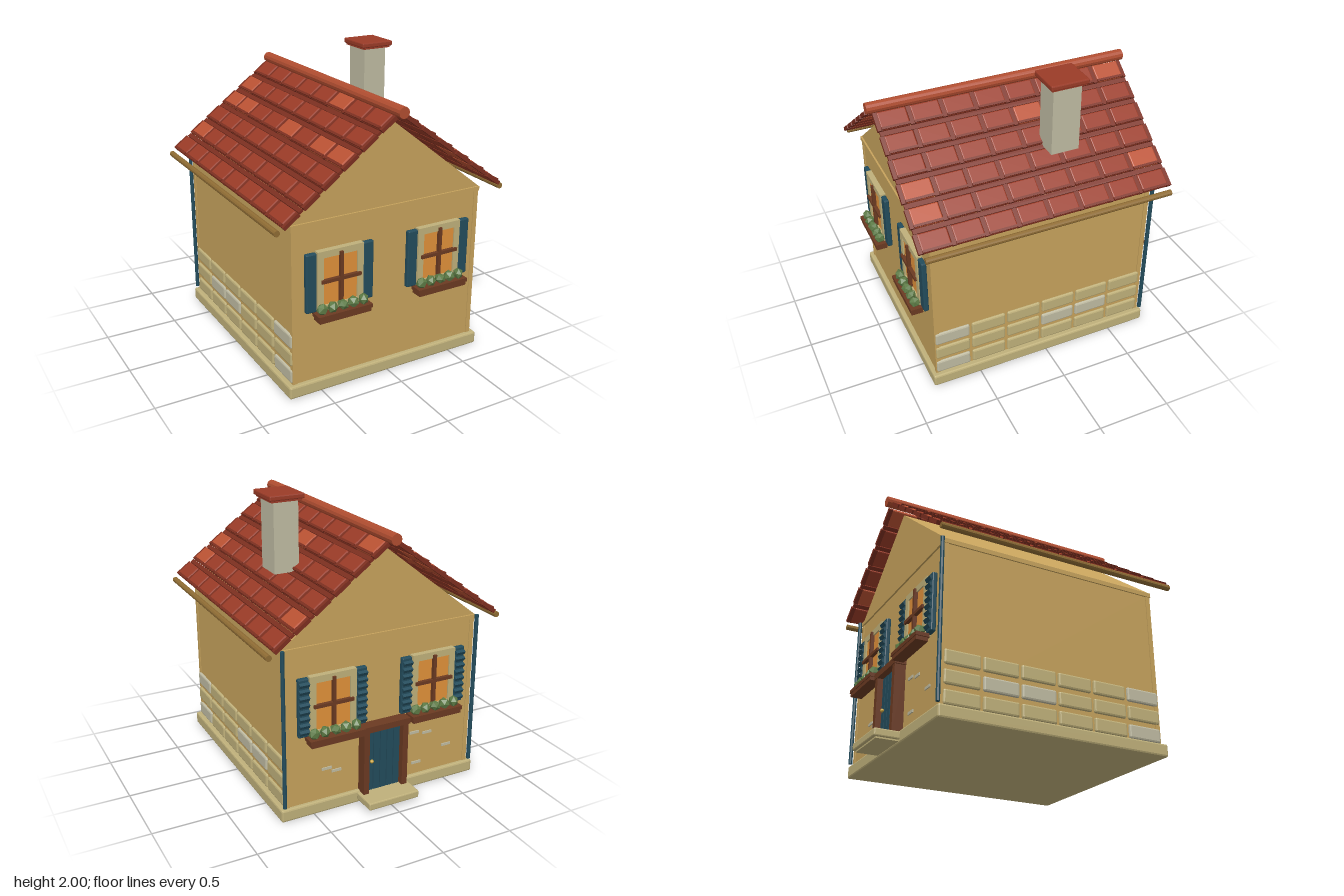
import * as THREE from 'three';
import { RoundedBoxGeometry } from 'three/addons/geometries/RoundedBoxGeometry.js';

const mats = {};
const mat = (color) => (mats[color] ??= new THREE.MeshStandardMaterial({ color, flatShading: true }));
const WALL = 0xc6a25c, STONE = 0xbfb07a, PALE = 0xbfbba2, BLUE = 0x234c5c, BROWN = 0x6b3a22,
  GLASS = 0xe0913a, GREEN = 0x5c7a45, TILE = 0x9a3b27, TILE_LIGHT = 0xbb5233, TILE_DARK = 0x7c2f20, GUTTER = 0x8f6c34;

function add(parent, name, geo, color, x = 0, y = 0, z = 0) {
  const m = new THREE.Mesh(geo, mat(color));
  m.name = name;
  m.position.set(x, y, z);
  parent.add(m);
  return m;
}
// Box given by its low and high limits on each axis
function box(parent, name, color, [x0, x1], [y0, y1], [z0, z1], bevel = 0) {
  const s = [x1 - x0, y1 - y0, z1 - z0];
  const geo = bevel ? new RoundedBoxGeometry(...s, 1, bevel) : new THREE.BoxGeometry(...s);
  return add(parent, name, geo, color, (x0 + x1) / 2, (y0 + y1) / 2, (z0 + z1) / 2);
}
function group(parent, name) {
  const g = new THREE.Group();
  g.name = name;
  parent.add(g);
  return g;
}

// Window with shutters and flower box, standing out from a wall plane at z = 0
function makeWindow(parent, louvred) {
  const w = group(parent, 'window');
  box(w, 'windowGlass', GLASS, [-0.13, 0.13], [0.58, 0.94], [-0.01, 0.025]);
  for (const s of [-1, 1]) {
    box(w, 'frameSide', STONE, s < 0 ? [-0.163, -0.12] : [0.12, 0.163], [0.57, 0.975], [-0.01, 0.035]);
    const cx = s * 0.203;
    box(w, 'shutter', BLUE, [cx - 0.037, cx + 0.037], [0.575, 0.97], [-0.005, 0.03], 0.008);
    if (louvred) for (let i = 0; i < 8; i++) {
      const slat = box(w, 'shutterSlat', BLUE, [cx - 0.034, cx + 0.034], [0.598, 0.622], [0.024, 0.046]);
      slat.position.y += i * 0.046;
      slat.rotation.x = 0.5;
    }
  }
  box(w, 'frameTop', STONE, [-0.163, 0.163], [0.93, 0.975], [-0.01, 0.035]);
  box(w, 'frameSill', STONE, [-0.163, 0.163], [0.57, 0.61], [-0.01, 0.035]);
  box(w, 'mullion', BROWN, [-0.011, 0.011], [0.6, 0.955], [0.02, 0.05]);
  box(w, 'crossbar', BROWN, [-0.14, 0.14], [0.764, 0.786], [0.02, 0.05]);
  box(w, 'flowerBox', BROWN, [-0.185, 0.185], [0.525, 0.555], [0.02, 0.1]);
  box(w, 'flowerBoxRim', BROWN, [-0.193, 0.193], [0.55, 0.575], [0.015, 0.105]);
  for (let i = 0; i < 5; i++) {
    const p = add(w, 'plant', new THREE.IcosahedronGeometry(0.04, 0), GREEN, (i - 2) * 0.074, 0.602, 0.062);
    p.rotation.set(i * 0.8, i * 1.3, 0.3);
    p.scale.z = 0.85;
  }
  return w;
}

// One roof slope: rows of tiles with joint strips between them
function makeSlope(parent, s) {
  const r = group(parent, 'roofSlope');
  r.position.y = 1.79;
  r.rotation.z = -s * 0.637;
  let seed = s > 0 ? 7 : 23;
  const rand = () => (seed = (seed * 16807) % 2147483647) / 2147483647;
  for (let i = 0; i < 10; i++) rand();
  const tileGeo = new RoundedBoxGeometry(0.125, 0.034, 0.188, 1, 0.008);
  const lipGeo = new THREE.BoxGeometry(0.016, 0.012, 0.19);
  const ribGeo = new THREE.BoxGeometry(0.125, 0.026, 0.032);
  const stripGeo = new THREE.BoxGeometry(0.03, 0.018, 1.74);
  for (let i = 0; i < 6; i++) {
    const u = s * (0.105 + i * 0.163);
    for (let j = 0; j < 8; j++) {
      const z = 0.79 - j * 0.2167;
      const color = rand() < 0.16 ? TILE_LIGHT : TILE;
      add(r, 'roofTile', tileGeo, color, u, 0, z);
      add(r, 'tileLip', lipGeo, TILE_DARK, u + s * 0.052, 0.016, z);
    }
    for (let j = 0; j <= 8; j++) add(r, 'tileJoint', ribGeo, TILE_DARK, u, -0.002, 0.893 - j * 0.2155);
    if (i < 5) add(r, 'rowStrip', stripGeo, TILE_DARK, u + s * 0.0815, -0.004, 0.03);
  }
}

export function createModel() {
  const house = new THREE.Group();
  house.name = 'house';

  // Plinth and walls
  box(house, 'plinth', STONE, [-0.73, 0.73], [0, 0.085], [-0.772, 0.838], 0.012);
  box(house, 'walls', WALL, [-0.69, 0.69], [0.08, 1.16], [-0.745, 0.805]);
  for (const x of [-0.68, 0.68]) for (const z of [-0.734, 0.795])
    box(house, 'cornerPost', WALL, [x - 0.016, x + 0.016], [0.08, 1.16], [z - 0.016, z + 0.016]);
  box(house, 'wallBand', WALL, [-0.7, 0.7], [1.14, 1.17], [-0.757, 0.817]);

  // Gable prism
  const tri = new THREE.Shape([new THREE.Vector2(-0.7, 1.17), new THREE.Vector2(0.7, 1.17), new THREE.Vector2(0, 1.72)]);
  add(house, 'gable', new THREE.ExtrudeGeometry(tri, { depth: 1.55, bevelEnabled: false }), WALL, 0, 0, -0.745);

  for (const s of [-1, 1]) {
    makeSlope(house, s);
    // Stone courses low on the side walls
    for (let row = 0; row < 3; row++) for (let col = 0; col < 6; col++) {
      const z = 0.685 - col * 0.259, y = 0.14 + row * 0.124;
      const color = (row * 2 + col * 3 + (col >> 1)) % 4 === 0 ? PALE : STONE;
      box(house, 'wallStone', color, s > 0 ? [0.675, 0.706] : [-0.706, -0.675], [y - 0.047, y + 0.047], [z - 0.121, z + 0.121], 0.012);
    }
    // Gutter and downpipe
    add(house, 'gutter', new THREE.CylinderGeometry(0.02, 0.02, 1.71, 10).rotateX(Math.PI / 2), GUTTER, s * 0.82, 1.172, 0.025);
    add(house, 'downpipe', new THREE.CylinderGeometry(0.014, 0.014, 1.07, 8), BLUE, s * 0.706, 0.635, -0.765);
    // Windows on both end walls
    makeWindow(house, false).position.set(s * 0.37, 0, 0.81);
    const back = makeWindow(house, true);
    back.position.set(s * 0.37, 0, -0.75);
    back.rotation.y = Math.PI;
  }

  // Ridge
  add(house, 'ridge', new THREE.CylinderGeometry(0.037, 0.037, 1.82, 12).rotateX(Math.PI / 2), 0xb04d30, 0, 1.793, 0.03);

  // Chimney
  box(house, 'chimney', PALE, [0.36, 0.53], [1.49, 1.965], [-0.285, -0.09]);
  box(house, 'chimneyCapLower', TILE, [0.342, 0.552], [1.953, 1.975], [-0.305, -0.07]);
  box(house, 'chimneyCap', TILE, [0.328, 0.568], [1.965, 2], [-0.318, -0.058], 0.008);

  // Door with frame, planks and knob
  const door = group(house, 'door');
  for (let i = 0; i < 5; i++) {
    const x = (i - 2) * 0.05;
    box(door, 'doorPlank', BLUE, [x - 0.022, x + 0.022], [0.07, 0.53], [-0.782, -0.74]);
  }
  box(door, 'doorBacking', 0x183642, [-0.13, 0.13], [0.07, 0.53], [-0.77, -0.74]);
  for (const s of [-1, 1])
    box(door, 'doorPost', BROWN, s > 0 ? [0.125, 0.165] : [-0.165, -0.125], [0.065, 0.53], [-0.82, -0.74]);
  box(door, 'doorLintel', BROWN, [-0.175, 0.175], [0.52, 0.562], [-0.825, -0.74]);
  add(door, 'doorKnob', new THREE.IcosahedronGeometry(0.013, 1), 0xc9a13c, 0.09, 0.29, -0.79);

  // Doorstep
  box(house, 'doorstepBase', STONE, [-0.17, 0.17], [0.015, 0.05], [-0.92, -0.76]);
  box(house, 'doorstep', STONE, [-0.187, 0.187], [0.025, 0.075], [-0.938, -0.765], 0.008);

  // Exposed stones in the back wall
  for (const [x, y] of [[0.4, 0.3], [0.33, 0.27], [-0.26, 0.4], [-0.36, 0.38], [-0.28, 0.17], [-0.52, 0.25]])
    box(house, 'exposedStone', PALE, [x - 0.035, x + 0.035], [y - 0.009, y + 0.009], [-0.752, -0.73]);

  return house;
}
